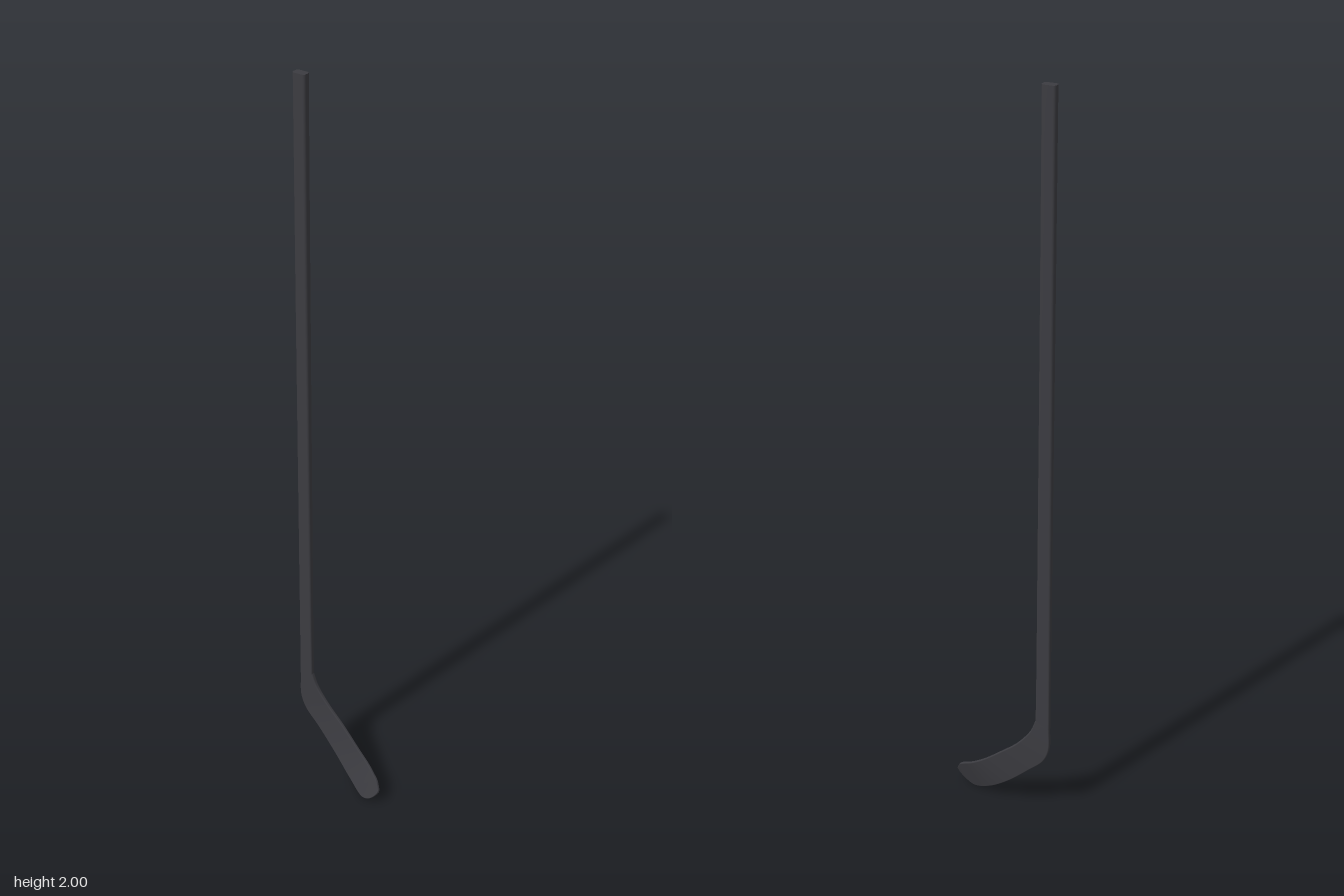
import * as THREE from 'three';

const V = (x, y, z) => new THREE.Vector3(x, y, z);

// Stations down the stick: [outer edge, inner edge, thickness]
const shaftStations = [
  [V(-0.147, 2, -0.024), V(-0.111, 2, -0.024), 0.022],
  [V(-0.147, 1.4, -0.024), V(-0.111, 1.4, -0.024), 0.021],
  [V(-0.147, 0.8, -0.024), V(-0.110, 0.8, -0.024), 0.017],
  [V(-0.147, 0.4, -0.024), V(-0.109, 0.4, -0.024), 0.014],
  [V(-0.147, 0.28, -0.024), V(-0.108, 0.3, -0.024), 0.013],
];
const bladeStations = [
  shaftStations[4],
  [V(-0.146, 0.215, -0.024), V(-0.093, 0.262, -0.025), 0.012],
  [V(-0.13, 0.177, -0.023), V(-0.056, 0.214, -0.026), 0.010],
  [V(-0.087, 0.135, -0.021), V(-0.008, 0.172, -0.023), 0.009],
  [V(-0.024, 0.077, -0.012), V(0.05, 0.124, -0.014), 0.008],
  [V(0.04, 0.029, 0.006), V(0.09, 0.097, -0.005), 0.008],
  [V(0.093, 0.005, 0.025), V(0.117, 0.081, 0.006), 0.008],
  [V(0.118, 0.013, 0.029), V(0.131, 0.071, 0.012), 0.008],
  [V(0.136, 0.03, 0.027), V(0.141, 0.055, 0.018), 0.007],
  [V(0.143, 0.041, 0.025), V(0.144, 0.048, 0.021), 0.005],
];

// Rounded rectangle around a section, half sizes w and h
function roundedRect(w, h) {
  const r = Math.min(w, h) * 0.6, pts = [];
  const corners = [[1, 1], [-1, 1], [-1, -1], [1, -1]];
  corners.forEach(([sx, sy], q) => {
    for (let k = 0; k <= 4; k++) {
      const a = (q + k / 4) * Math.PI / 2;
      pts.push([sx * (w - r) + r * Math.cos(a), sy * (h - r) + r * Math.sin(a)]);
    }
  });
  return pts;
}

// Skin a row of stations, closing the chosen ends
function loft(stations, steps, capStart, capEnd) {
  const outer = new THREE.CatmullRomCurve3(stations.map(s => s[0]));
  const inner = new THREE.CatmullRomCurve3(stations.map(s => s[1]));
  const last = stations.length - 1, pos = [], idx = [], centres = [];
  const middle = t => outer.getPoint(t).add(inner.getPoint(t)).multiplyScalar(0.5);
  const sides = 20;
  for (let i = 0; i <= steps; i++) {
    const t = i / steps, f = t * last, k = Math.min(Math.floor(f), last - 1);
    const thick = THREE.MathUtils.lerp(stations[k][2], stations[k + 1][2], f - k);
    const c = middle(t);
    const across = inner.getPoint(t).sub(outer.getPoint(t));
    const half = across.length() / 2;
    across.normalize();
    const along = middle(Math.min(1, t + 0.01)).sub(middle(Math.max(0, t - 0.01)));
    const normal = along.cross(across).normalize();
    centres.push(c);
    for (const [u, v] of roundedRect(half, thick / 2)) {
      const p = c.clone().addScaledVector(across, u).addScaledVector(normal, v);
      pos.push(p.x, p.y, p.z);
    }
  }
  for (let i = 0; i < steps; i++) for (let j = 0; j < sides; j++) {
    const a = i * sides + j, b = i * sides + (j + 1) % sides;
    idx.push(a, b, b + sides, a, b + sides, a + sides);
  }
  // Caps have their own vertices so their rims stay sharp
  const cap = (ring, flip) => {
    const base = pos.length / 3, c = centres[ring];
    pos.push(...pos.slice(ring * sides * 3, (ring + 1) * sides * 3), c.x, c.y, c.z);
    for (let j = 0; j < sides; j++) {
      const a = base + j, b = base + (j + 1) % sides;
      idx.push(base + sides, flip ? b : a, flip ? a : b);
    }
  };
  if (capStart) cap(0, true);
  if (capEnd) cap(steps, false);
  const g = new THREE.BufferGeometry();
  g.setAttribute('position', new THREE.Float32BufferAttribute(pos, 3));
  g.setIndex(idx);
  g.computeVertexNormals();
  return g;
}

export function createModel() {
  const group = new THREE.Group();
  group.name = 'hockeyStick';
  const material = new THREE.MeshStandardMaterial({ color: 0x3c3c41 });
  const add = (name, geometry) => {
    const mesh = new THREE.Mesh(geometry, material);
    mesh.name = name;
    group.add(mesh);
  };
  // Straight shaft, thinning toward the heel
  add('shaft', loft(shaftStations, 32, true, false));
  // Heel and curved, twisted blade with a round toe
  add('blade', loft(bladeStations, 72, false, true));
  return group;
}
